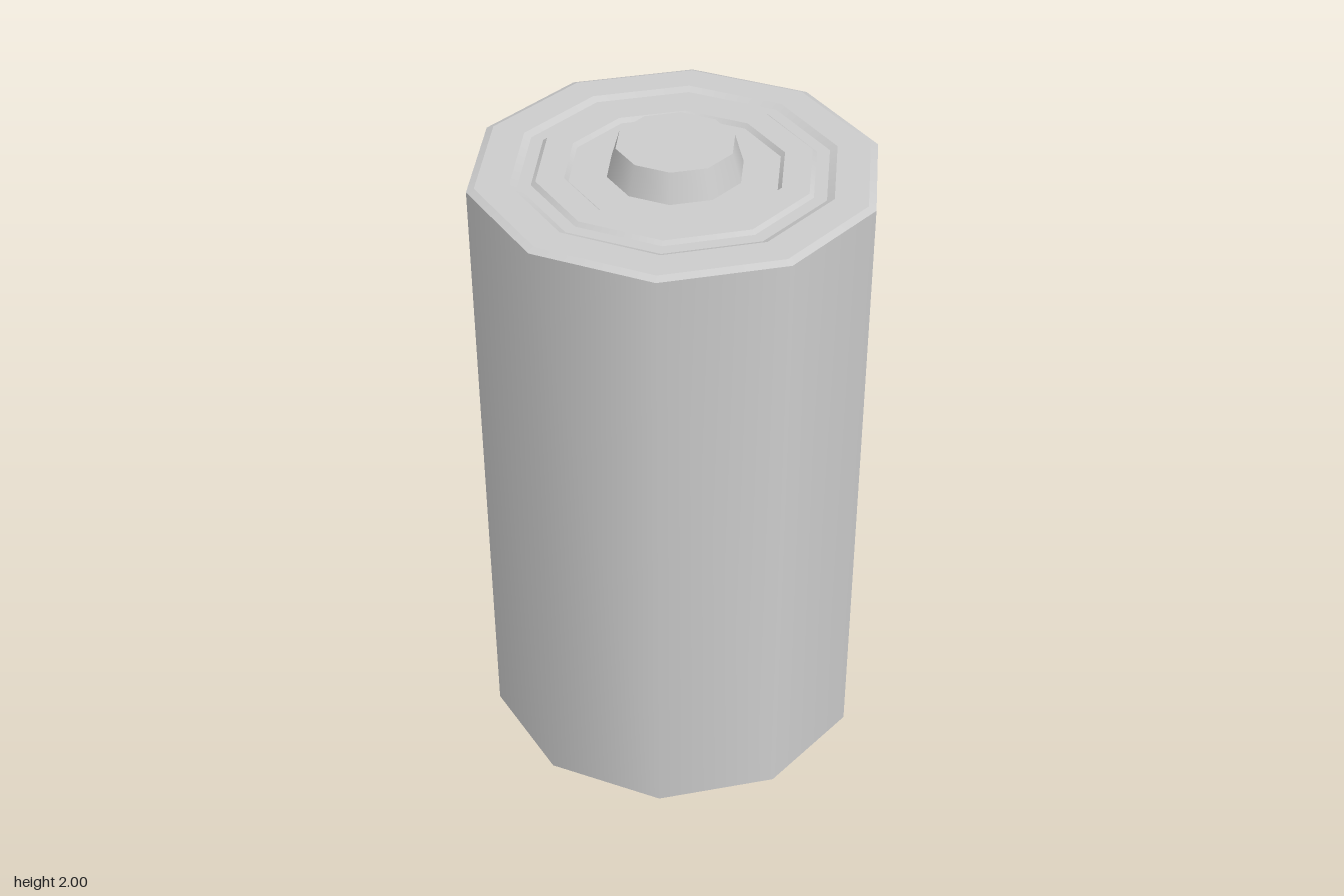
import * as THREE from 'three';
import { mergeGeometries } from 'three/addons/utils/BufferGeometryUtils.js';

const SIDES = 10;
const material = new THREE.MeshStandardMaterial({ color: 0xcccccc });

// Ten-sided turned part: smooth around the axis, a hard edge at every profile point.
// Profiles run from the bottom centre, outwards, up and back to the top centre.
function turned(name, profile) {
  const bands = [];
  for (let i = 0; i + 1 < profile.length; i++) {
    const pair = [profile[i], profile[i + 1]].map(([r, y]) => new THREE.Vector2(r, y));
    bands.push(new THREE.LatheGeometry(pair, SIDES));
  }
  const mesh = new THREE.Mesh(mergeGeometries(bands), material);
  mesh.name = name;
  return mesh;
}

export function createModel() {
  const group = new THREE.Group();
  group.name = 'battery';

  // Underside: recessed centre, raised ring, groove and bevelled rim
  group.add(turned('bottomCap', [
    [0, 0.012], [0.262, 0.012], [0.275, 0], [0.36, 0], [0.375, 0.012],
    [0.43, 0.012], [0.45, 0], [0.568, 0], [0.59, 0.012],
  ]));

  // Cylindrical casing
  group.add(turned('casing', [[0.59, 0.012], [0.59, 1.917]]));

  // Top: bevelled rim, groove, raised ring and recessed centre
  group.add(turned('topCap', [
    [0.59, 1.917], [0.568, 1.926], [0.47, 1.926], [0.448, 1.916], [0.41, 1.916],
    [0.397, 1.926], [0.316, 1.926], [0.304, 1.914], [0, 1.914],
  ]));

  // Tapered contact button
  group.add(turned('contactButton', [[0.196, 1.914], [0.17, 2], [0, 2]]));

  return group;
}
